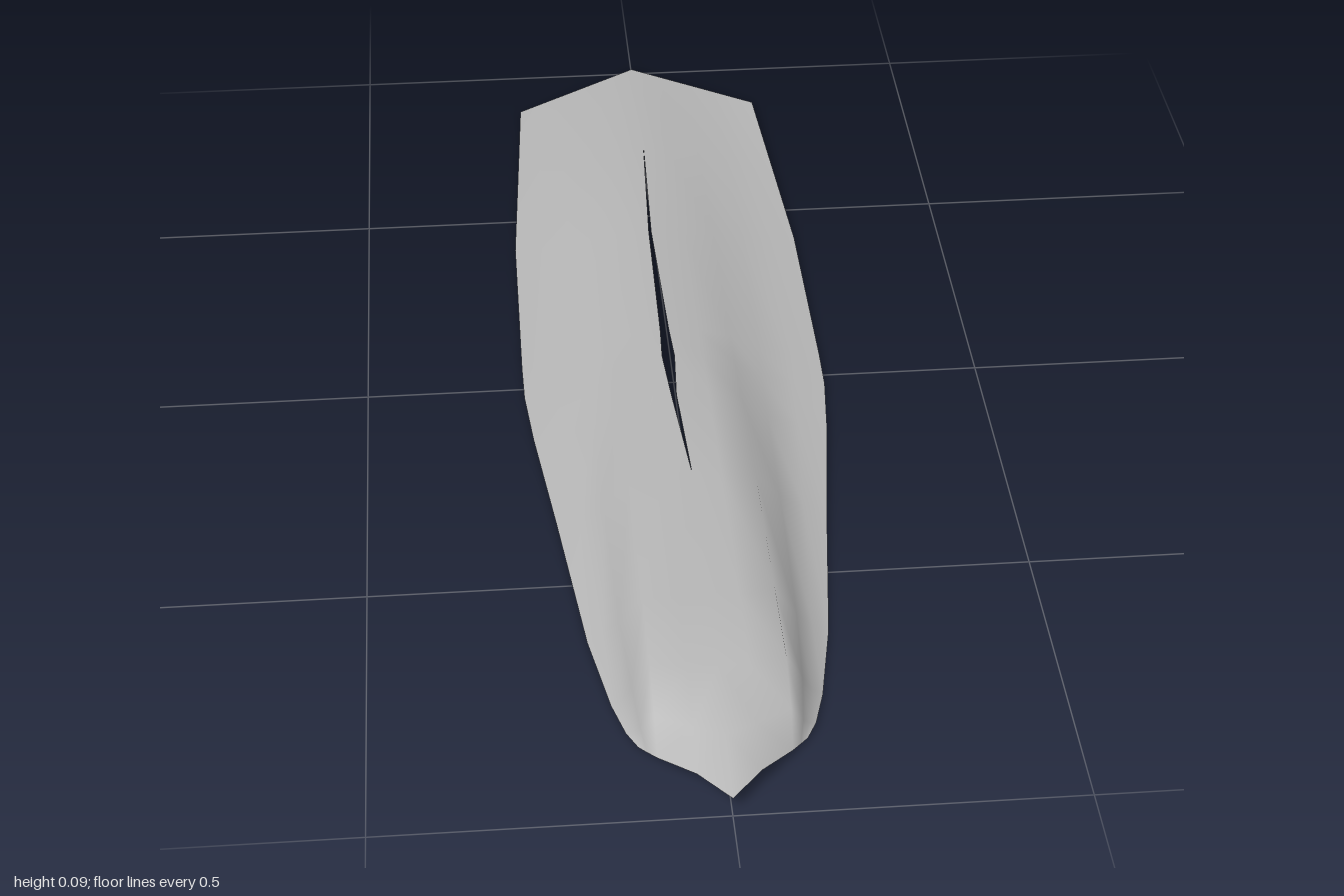
import * as THREE from 'three';
import { mergeVertices } from 'three/addons/utils/BufferGeometryUtils.js';

// Cross-sections from nose to tail:
// zCentre, zEdge, ridgeX, footX, edgeX, then heights of centre, groove, ridge, foot, edge
const SECTIONS = [
  [1.00, 0.86, 0.095, 0.108, 0.12, 0.033, 0.032, 0.010, 0.007, 0.005],
  [0.90, 0.83, 0.096, 0.115, 0.135, 0.058, 0.055, 0.052, 0.020, 0.004],
  [0.78, 0.77, 0.097, 0.122, 0.152, 0.079, 0.074, 0.083, 0.035, 0.002],
  [0.63, 0.63, 0.097, 0.130, 0.178, 0.086, 0.077, 0.082, 0.032, 0.000],
  [0.35, 0.35, 0.098, 0.137, 0.210, 0.086, 0.080, 0.075, 0.028, 0.001],
  [0.14, 0.14, 0.098, 0.140, 0.236, 0.080, 0.077, 0.064, 0.026, 0.004],
  [0.03, 0.03, 0.098, 0.142, 0.246, 0.076, 0.073, 0.056, 0.025, 0.005],
  [-0.05, -0.05, 0.098, 0.144, 0.247, 0.072, 0.069, 0.051, 0.024, 0.005],
  [-0.37, -0.40, 0.100, 0.150, 0.245, 0.053, 0.050, 0.038, 0.022, 0.007],
  [-0.68, -0.62, 0.100, 0.150, 0.232, 0.035, 0.033, 0.027, 0.019, 0.009],
  [-1.00, -0.86, 0.100, 0.150, 0.218, 0.010, 0.010, 0.010, 0.010, 0.010],
];
// Half-width of the central slot at each section
const SLOT = [0, 0, 0, 0, 0, 0.004, 0.010, 0.007, 0.002, 0, 0];
const SLOT_X = -0.011;

function sheet(positions, indices) {
  let g = new THREE.BufferGeometry();
  g.setAttribute('position', new THREE.Float32BufferAttribute(positions, 3));
  g.setIndex(indices);
  g = mergeVertices(g, 1e-5);
  g.computeVertexNormals();
  return g;
}

// Both halves of the shell share their centre line except along the slot
function shellGeometry() {
  const pos = [], idx = [], cols = 6;
  for (const side of [1, -1]) {
    const base = pos.length / 3;
    SECTIONS.forEach(([zc, ze, rx, fx, ex, yc, yg, yr, yf, ye], i) => {
      const inner = SLOT[i] ? SLOT_X + side * SLOT[i] : 0;
      const xs = [inner, side * 0.045, side * rx, side * fx, side * (fx + ex) / 2, side * ex];
      const ys = [yc, yg, yr, yf, yf * 0.35 + ye * 0.65, ye];
      xs.forEach((x, j) => {
        const t = j === 0 ? 0 : Math.abs(x) / ex;
        pos.push(x, ys[j], zc + (ze - zc) * t);
      });
    });
    for (let i = 0; i < SECTIONS.length - 1; i++) {
      for (let j = 0; j < cols - 1; j++) {
        const a = base + i * cols + j, b = a + 1, c = a + cols, d = c + 1;
        if (side > 0) idx.push(a, b, c, b, d, c);
        else idx.push(a, c, b, b, c, d);
      }
    }
  }
  return sheet(pos, idx);
}

export function createModel() {
  const model = new THREE.Group();
  const grey = new THREE.MeshStandardMaterial({ color: 0xb8b8b8, side: THREE.DoubleSide });
  grey.name = 'plain grey';

  const shell = new THREE.Mesh(shellGeometry(), grey);
  shell.name = 'shell';
  model.add(shell);

  // Small folded point below the nose
  const nose = new THREE.Mesh(sheet(
    [0, 0.033, 1, 0.01, 0.033, 0.985, -0.01, 0.033, 0.985, 0, 0.005, 0.93],
    [0, 3, 1, 0, 2, 3]), grey);
  nose.name = 'noseKeel';
  model.add(nose);
  return model;
}
